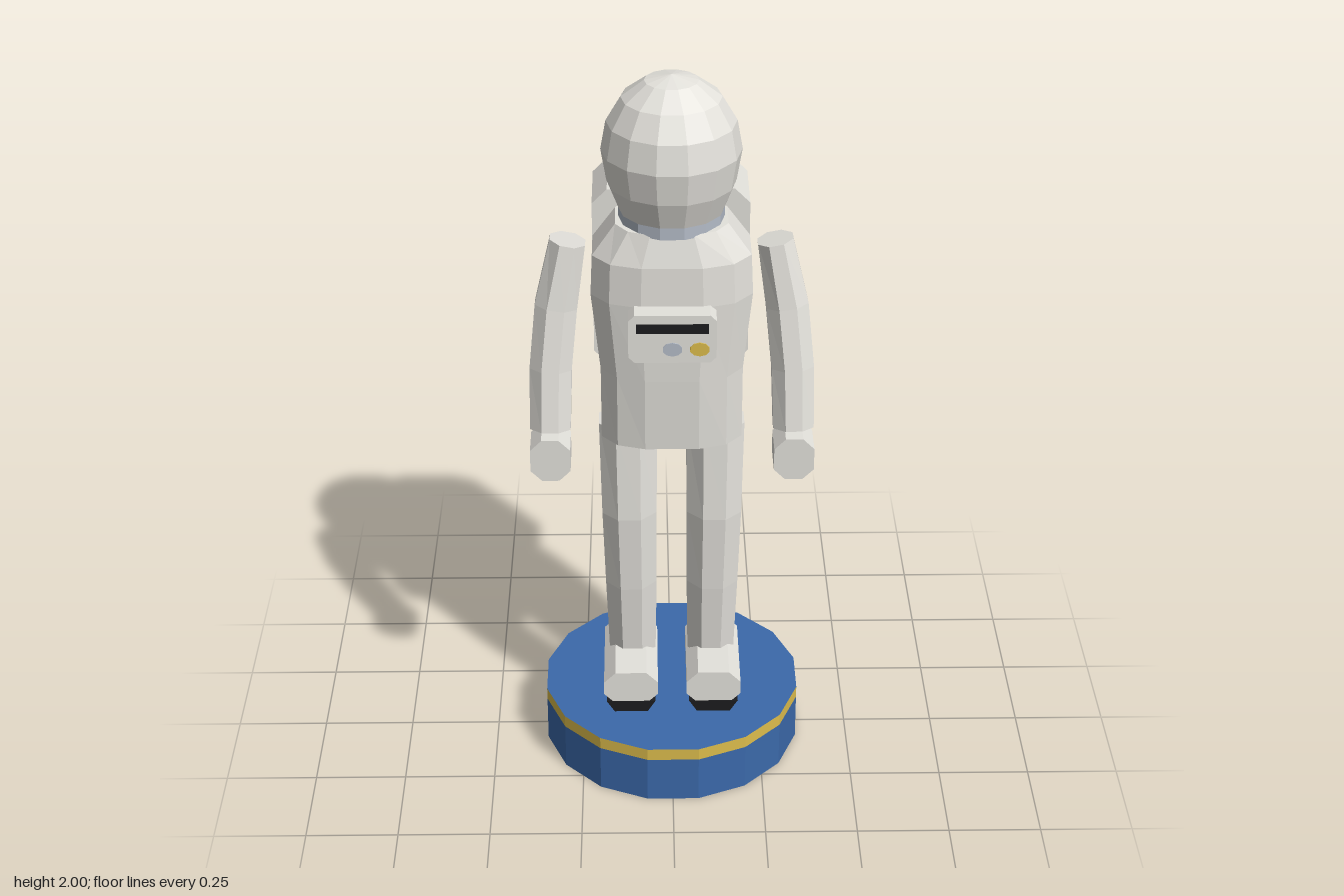
import * as THREE from 'three';

const material = (name, color) => Object.assign(new THREE.MeshStandardMaterial({ color }), { name });

// Gives every face its own flat normal
function faceted(geometry) {
  const g = geometry.index ? geometry.toNonIndexed() : geometry;
  g.computeVertexNormals();
  return g;
}

// Unit polygon with a flat side facing x
function polygon(n) {
  return Array.from({ length: n }, (_, i) => {
    const a = ((i + 0.5) / n) * Math.PI * 2;
    return [Math.cos(a), Math.sin(a)];
  });
}

// Capped loft running downward; each ring is [x, y, z, radiusX, radiusZ]
function loft(rings, outline) {
  const centres = rings.map((r) => new THREE.Vector3(r[0], r[1], r[2]));
  const n = outline.length, last = rings.length - 1;
  const pos = [], index = [];
  rings.forEach((r, i) => {
    const t = centres[Math.min(i + 1, last)].clone().sub(centres[Math.max(i - 1, 0)]).normalize();
    const u = new THREE.Vector3(1, 0, 0).addScaledVector(t, -t.x).normalize();
    const v = t.clone().cross(u);
    for (const [a, b] of outline) {
      const p = centres[i].clone().addScaledVector(u, a * r[3]).addScaledVector(v, b * r[4]);
      pos.push(p.x, p.y, p.z);
    }
  });
  for (const c of [centres[0], centres[last]]) pos.push(c.x, c.y, c.z);
  const top = n * rings.length;
  for (let j = 0; j < n; j++) {
    const k = (j + 1) % n;
    for (let i = 0; i < last; i++) {
      const a = i * n + j, b = i * n + k;
      index.push(a, b, a + n, b, b + n, a + n);
    }
    index.push(top, k, j, top + 1, last * n + j, last * n + k);
  }
  const g = new THREE.BufferGeometry();
  g.setAttribute('position', new THREE.Float32BufferAttribute(pos, 3));
  g.setIndex(index);
  return faceted(g);
}

// Block with its four long edges cut off, running from z0 to z1
function chamferedBlock(x0, x1, y0, y1, z0, z1, c) {
  const s = new THREE.Shape([
    [x0 + c, y0], [x1 - c, y0], [x1, y0 + c], [x1, y1 - c],
    [x1 - c, y1], [x0 + c, y1], [x0, y1 - c], [x0, y0 + c],
  ].map(([x, y]) => new THREE.Vector2(x, y)));
  return new THREE.ExtrudeGeometry(s, { depth: z1 - z0, bevelEnabled: false }).translate(0, 0, z0);
}

export function createModel() {
  const suit = material('suit white', 0xe4e2dc);
  const blue = material('base blue', 0x3b69aa);
  const gold = material('gold', 0xdcbc4c);
  const black = material('black', 0x1c1c1e);
  const metal = material('pale metal', 0xb4bcc8);

  const model = new THREE.Group();
  model.name = 'astronautFigure';
  const add = (name, geometry, mat, parent = model) => {
    const mesh = new THREE.Mesh(geometry, mat);
    mesh.name = name;
    parent.add(mesh);
    return mesh;
  };

  // Round stand with a gold rim
  const disc = (y0, y1) => faceted(
    new THREE.CylinderGeometry(0.361, 0.361, y1 - y0, 16, 1, false, Math.PI / 16).translate(0, (y0 + y1) / 2, 0));
  add('base', disc(0, 0.135), blue);
  add('baseRim', disc(0.135, 0.17), [gold, blue, blue]);

  // Torso, a rounded box in section
  const quarter = [[1, 0.42], [0.77, 0.82], [0.38, 1]];
  const flip = (sx, sz) => quarter.map(([x, z]) => [x * sx, z * sz]);
  const section = [...flip(1, 1), ...flip(-1, 1).reverse(), ...flip(-1, -1), ...flip(1, -1).reverse()];
  add('torso', loft([
    [0, 1.615, 0, 0.145, 0.12],
    [0, 1.53, 0, 0.205, 0.14],
    [0, 1.42, 0, 0.21, 0.143],
    [0, 1.2, 0, 0.187, 0.135],
    [0, 0.99, 0, 0.187, 0.123],
  ], section), suit);

  // Collar ring and helmet
  add('collar', faceted(new THREE.CylinderGeometry(0.137, 0.137, 0.045, 14, 1, false, Math.PI / 2).translate(0, 1.63, 0)), metal);
  const helmetProfile = [[0, 1.64], [0.137, 1.64], [0.166, 1.715], [0.18, 1.8],
    [0.166, 1.877], [0.128, 1.941], [0.069, 1.985], [0, 2]];
  add('helmet', faceted(new THREE.LatheGeometry(
    helmetProfile.map(([r, y]) => new THREE.Vector2(r, y)), 14, Math.PI / 2)), suit);

  // Life support pack
  add('backpack', chamferedBlock(-0.207, 0.207, 1.125, 1.64, -0.31, -0.105, 0.04), suit);

  // Chest control box with display and two dials
  const chest = new THREE.Group();
  chest.name = 'chestControls';
  model.add(chest);
  add('controlBox', chamferedBlock(-0.113, 0.113, 1.29, 1.425, 0.1, 0.195, 0.016), suit, chest);
  add('display', new THREE.BoxGeometry(0.185, 0.026, 0.004).translate(0, 1.388, 0.196), black, chest);
  [[0, metal, 'greyDial'], [0.07, gold, 'goldDial']].forEach(([x, mat, name]) => {
    const dial = faceted(new THREE.CylinderGeometry(0.026, 0.026, 0.004, 10).rotateX(Math.PI / 2));
    add(name, dial.scale(1, 0.75, 1).translate(x, 1.329, 0.196), mat, chest);
  });

  // Limbs, mirrored to both sides
  for (const s of [1, -1]) {
    const side = s > 0 ? 'left' : 'right';
    add(side + 'Arm', loft([
      [s * 0.268, 1.545, -0.004, 0.05, 0.066],
      [s * 0.301, 1.37, 0.018, 0.06, 0.066],
      [s * 0.318, 1.2, 0.046, 0.06, 0.064],
      [s * 0.322, 1.035, 0.078, 0.058, 0.058],
    ], polygon(8)), suit);
    const hx = s * 0.322;
    add(side + 'Hand', chamferedBlock(hx - 0.053, hx + 0.053, 0.915, 1.037, 0.055, 0.157, 0.03), suit);

    add(side + 'Leg', loft([
      [s * 0.117, 1.02, 0.006, 0.084, 0.09],
      [s * 0.115, 0.75, 0.025, 0.08, 0.08],
      [s * 0.112, 0.52, 0.016, 0.076, 0.074],
      [s * 0.11, 0.28, -0.004, 0.07, 0.068],
    ], polygon(8)), suit);

    // Boot and tapered sole
    const bx = s * 0.115;
    add(side + 'Boot', chamferedBlock(bx - 0.075, bx + 0.075, 0.197, 0.3, -0.093, 0.178, 0.032), suit);
    const sole = new THREE.Shape([[-0.045, 0.168], [0.045, 0.168], [0.068, 0.205], [-0.068, 0.205]]
      .map(([x, y]) => new THREE.Vector2(x + bx, y)));
    add(side + 'Sole', new THREE.ExtrudeGeometry(sole, { depth: 0.273, bevelEnabled: false }).translate(0, 0, -0.094), black);
  }

  return model;
}
